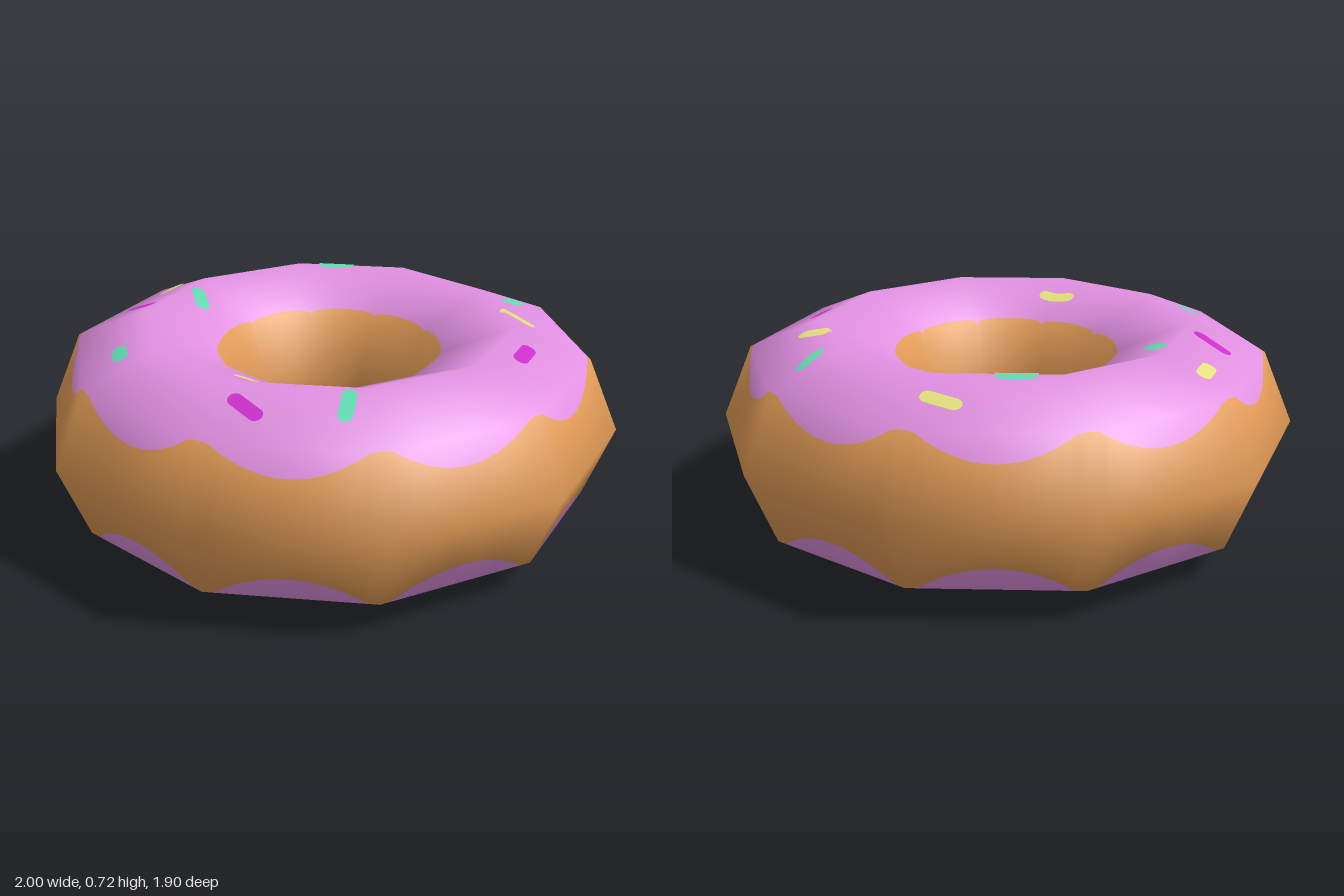
import * as THREE from 'three';

const SIDES = 10, RING = 0.643, TUBE = 0.357;
const STEP = (Math.PI * 2) / SIDES, HALF = STEP / 2;
const ICING_OUT = 0.885, ICING_IN = 0.386;

const lerp = THREE.MathUtils.lerp;
const clamp = THREE.MathUtils.clamp;

// Octagonal tube section: t = 0 outer, 2 top, 4 inner, 6 bottom
const corner = (k) => [RING + TUBE * Math.cos(k * Math.PI / 4), TUBE + TUBE * Math.sin(k * Math.PI / 4)];
function section(t) {
  const k = Math.floor(t), f = t - k, a = corner(k), b = corner(k + 1);
  return [lerp(a[0], b[0], f), lerp(a[1], b[1], f)];
}

// Shrink factor of the ten-sided ring at an angle, and the angle's place in its side
function sideAt(theta) {
  const k = Math.floor(theta / STEP + 1e-9);
  const d = theta - (k + 0.5) * STEP;
  return { k, s: Math.cos(HALF) / Math.cos(d), f: (1 + Math.tan(d) / Math.tan(HALF)) / 2 };
}

// Section parameter on the upper half (0..4) for a given section radius
function paramAt(r) {
  for (let k = 0; k < 4; k++) {
    const a = corner(k)[0], b = corner(k + 1)[0];
    if (r >= b) return k + clamp((a - r) / (a - b), 0, 1);
  }
  return 4;
}

// Point and smooth normal on the ring
function surface(t, theta) {
  const { k, s, f } = sideAt(theta);
  const [r, y] = section(t);
  const n = new THREE.Vector3();
  const t0 = Math.floor(t);
  for (const [kt, wt] of [[t0, 1 - (t - t0)], [t0 + 1, t - t0]]) {
    for (const [ka, wa] of [[k, 1 - f], [k + 1, f]]) {
      const p = kt * Math.PI / 4, a = ka * STEP;
      n.addScaledVector(new THREE.Vector3(Math.cos(p) * Math.cos(a), Math.sin(p), Math.cos(p) * Math.sin(a)), wt * wa);
    }
  }
  return { p: new THREE.Vector3(r * s * Math.cos(theta), y, r * s * Math.sin(theta)), n: n.normalize() };
}

// Grid of surface samples, at(i, j) gives { p, n }
function grid(rows, cols, at) {
  const pos = [], nor = [], index = [];
  for (let i = 0; i <= rows; i++) {
    for (let j = 0; j <= cols; j++) {
      const { p, n } = at(i, j);
      pos.push(p.x, p.y, p.z);
      nor.push(n.x, n.y, n.z);
      if (i < rows && j < cols) {
        const a = i * (cols + 1) + j, b = a + cols + 1;
        index.push(a, b, a + 1, b, b + 1, a + 1);
      }
    }
  }
  const g = new THREE.BufferGeometry();
  g.setAttribute('position', new THREE.Float32BufferAttribute(pos, 3));
  g.setAttribute('normal', new THREE.Float32BufferAttribute(nor, 3));
  g.setIndex(index);
  return g;
}

// Band of the ring; rowsAt(outerEdge, innerEdge) lists its section parameters
function band(rowsAt) {
  return grid(4, SIDES * 16, (i, j) => {
    const theta = (j / 16) * STEP, { s } = sideAt(theta);
    return surface(rowsAt(paramAt(ICING_OUT / s), paramAt(ICING_IN / s))[i], theta);
  });
}

// Capsule-shaped plate laid on the upper or lower icing
function sprinkle(x1, z1, x2, z2, below) {
  const R = 0.024, mid = [(x1 + x2) / 2, (z1 + z2) / 2];
  const core = Math.hypot(x2 - x1, z2 - z1) / 2, half = core + R;
  const ux = (x2 - x1) / (2 * core), uz = (z2 - z1) / (2 * core);
  return grid(24, 4, (i, j) => {
    const u = -half * Math.cos((i / 24) * Math.PI);
    const over = Math.max(0, Math.abs(u) - core);
    const w = Math.sqrt(Math.max(0, R * R - over * over));
    const v = w * (j / 2 - 1) * (below ? -1 : 1);
    const x = mid[0] + ux * u + uz * v, z = mid[1] + uz * u - ux * v;
    const theta = (Math.atan2(z, x) + Math.PI * 2) % (Math.PI * 2);
    const { p, n } = surface(paramAt(Math.hypot(x, z) / sideAt(theta).s), theta);
    p.addScaledVector(n, 0.004);
    if (below) { p.y = 2 * TUBE - p.y; n.y = -n.y; }
    return { p, n };
  });
}

export function createModel() {
  const material = (name, color) => {
    const m = new THREE.MeshStandardMaterial({ color });
    m.name = name;
    return m;
  };
  const dough = material('dough', 0xe09a55);
  const icing = material('pink icing', 0xe291e2);
  const yellow = material('yellow sprinkle', 0xe4e07c);
  const green = material('green sprinkle', 0x60dcb2);
  const magenta = material('magenta sprinkle', 0xcc30cc);

  const model = new THREE.Group();
  model.name = 'doughnut';
  const add = (name, geometry, mat) => {
    const mesh = new THREE.Mesh(geometry, mat);
    mesh.name = name;
    model.add(mesh);
  };

  // Dough around the outside and in the hole
  add('outerDough', band((o) => [-o, -Math.min(1, o), 0, Math.min(1, o), o]), dough);
  add('innerDough', band((o, i) => [i, Math.max(3, i), 4, 8 - Math.max(3, i), 8 - i]), dough);

  // Icing above and below
  const icingRows = (o, i) => [o, Math.max(1, o), 2, Math.min(3, i), i];
  add('topIcing', band(icingRows), icing);
  add('bottomIcing', band((o, i) => icingRows(o, i).map((t) => 8 - t).reverse()), icing);

  // Sprinkles: the two end centres of each in plan
  const sprinkles = [
    [yellow, -0.335, -0.675, -0.25, -0.7],
    [yellow, 0.395, -0.483, 0.485, -0.488],
    [yellow, -0.77, 0.03, -0.745, 0.107],
    [yellow, 0.105, 0.51, 0.19, 0.488],
    [green, 0.28, -0.7, 0.29, -0.625],
    [green, -0.44, -0.437, -0.372, -0.49],
    [green, -0.57, 0.096, -0.5, 0.14],
    [green, 0.506, 0.434, 0.547, 0.496],
    [green, -0.372, 0.622, -0.303, 0.667],
    [magenta, 0.63, -0.295, 0.66, -0.212],
    [magenta, -0.686, 0.303, -0.598, 0.303],
    [magenta, 0.25, 0.667, 0.338, 0.667],
  ];
  for (const [mat, ...ends] of sprinkles) {
    add('topSprinkle', sprinkle(...ends, false), mat);
    add('bottomSprinkle', sprinkle(...ends, true), mat);
  }
  return model;
}
